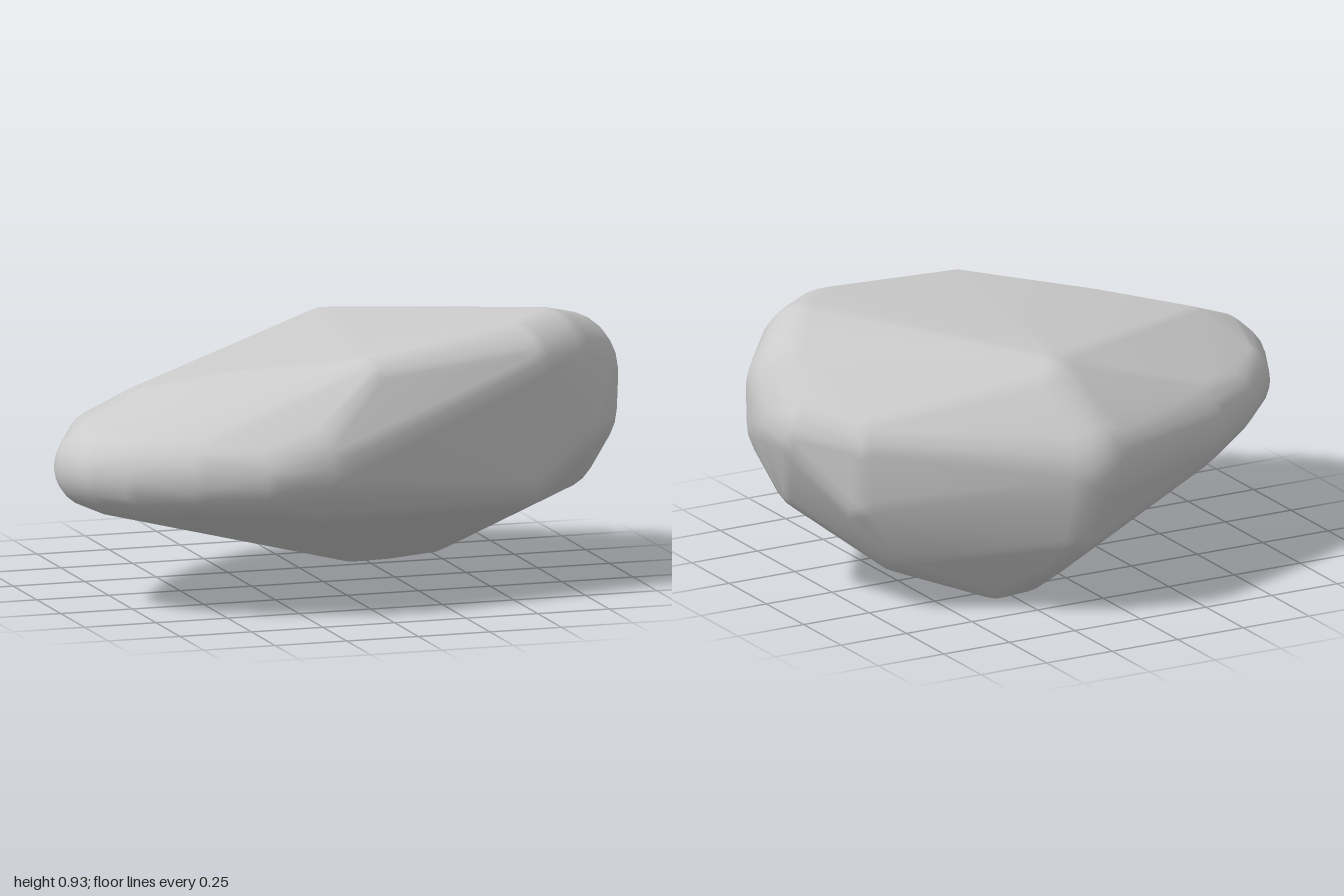
import * as THREE from 'three';
import { ConvexGeometry } from 'three/addons/geometries/ConvexGeometry.js';
import { mergeVertices } from 'three/addons/utils/BufferGeometryUtils.js';

// Rounded corners of the boulder, by region: x, y, z, rounding radius
const corners = {
  top: [
    [0.68, 0.75, 0.25, 0.18], [0.55, 0.77, 0.37, 0.15], [0, 0.74, 0.48, 0.12],
    [0.15, 0.66, -0.37, 0.19], [-0.66, 0.61, 0.13, 0.12],
    [-0.4, 0.64, 0.25, 0.15], [-0.4, 0.6, 0.38, 0.15],
  ],
  back: [
    [0.1, 0.5, -0.49, 0.22], [0.15, 0.32, -0.52, 0.14], [0.2, 0.24, -0.44, 0.14],
    [-0.38, 0.5, -0.33, 0.17], [-0.6, 0.5, -0.2, 0.13], [-0.76, 0.5, -0.02, 0.13],
  ],
  underside: [
    [0.2, 0.1, -0.3, 0.1], [0.3, 0.13, -0.31, 0.13], [0.42, 0.17, -0.18, 0.13],
    [0.57, 0.27, -0.2, 0.17], [-0.2, 0.44, 0.52, 0.14],
  ],
  bluntEnd: [
    [0.78, 0.61, 0.05, 0.22], [0.78, 0.42, 0.05, 0.15], [0.78, 0.69, 0.12, 0.2],
    [0.8, 0.56, 0.14, 0.17], [0.82, 0.6, -0.04, 0.17],
    [0.72, 0.58, -0.22, 0.14], [0.7, 0.42, -0.2, 0.16], [0.69, 0.55, 0.27, 0.18],
  ],
  frontEdge: [
    [0.53, 0.42, 0.38, 0.14], [0.05, 0.45, 0.49, 0.14], [-0.2, 0.52, 0.51, 0.2],
    [-0.38, 0.49, 0.54, 0.15], [-0.57, 0.49, 0.47, 0.15],
  ],
  narrowEnd: [
    [-0.74, 0.48, 0.37, 0.15], [-0.83, 0.48, 0.3, 0.14], [-0.86, 0.48, 0.2, 0.14],
    [-0.82, 0.53, 0.2, 0.13], [-0.78, 0.42, 0.15, 0.12],
  ],
};

// Unique directions of a small ball
function ballDirections(detail) {
  const ball = new THREE.IcosahedronGeometry(1, detail);
  ball.deleteAttribute('normal');
  ball.deleteAttribute('uv');
  const pos = mergeVertices(ball, 1e-4).attributes.position;
  return Array.from({ length: pos.count }, (_, i) => new THREE.Vector3().fromBufferAttribute(pos, i));
}

export function createModel() {
  const group = new THREE.Group();
  group.name = 'rock';

  // Wrap a hull around a ball at every corner
  const directions = ballDirections(3);
  const points = Object.values(corners).flat().flatMap(([x, y, z, r]) =>
    directions.map((d) => new THREE.Vector3(x, y, z).addScaledVector(d, r)));
  const hull = new ConvexGeometry(points);

  // Share vertices for smooth normals
  hull.deleteAttribute('normal');
  const geometry = mergeVertices(hull, 1e-4);
  geometry.computeVertexNormals();

  const boulder = new THREE.Mesh(geometry, new THREE.MeshStandardMaterial({ color: 0xcccccc }));
  boulder.name = 'boulder';
  group.add(boulder);
  return group;
}
